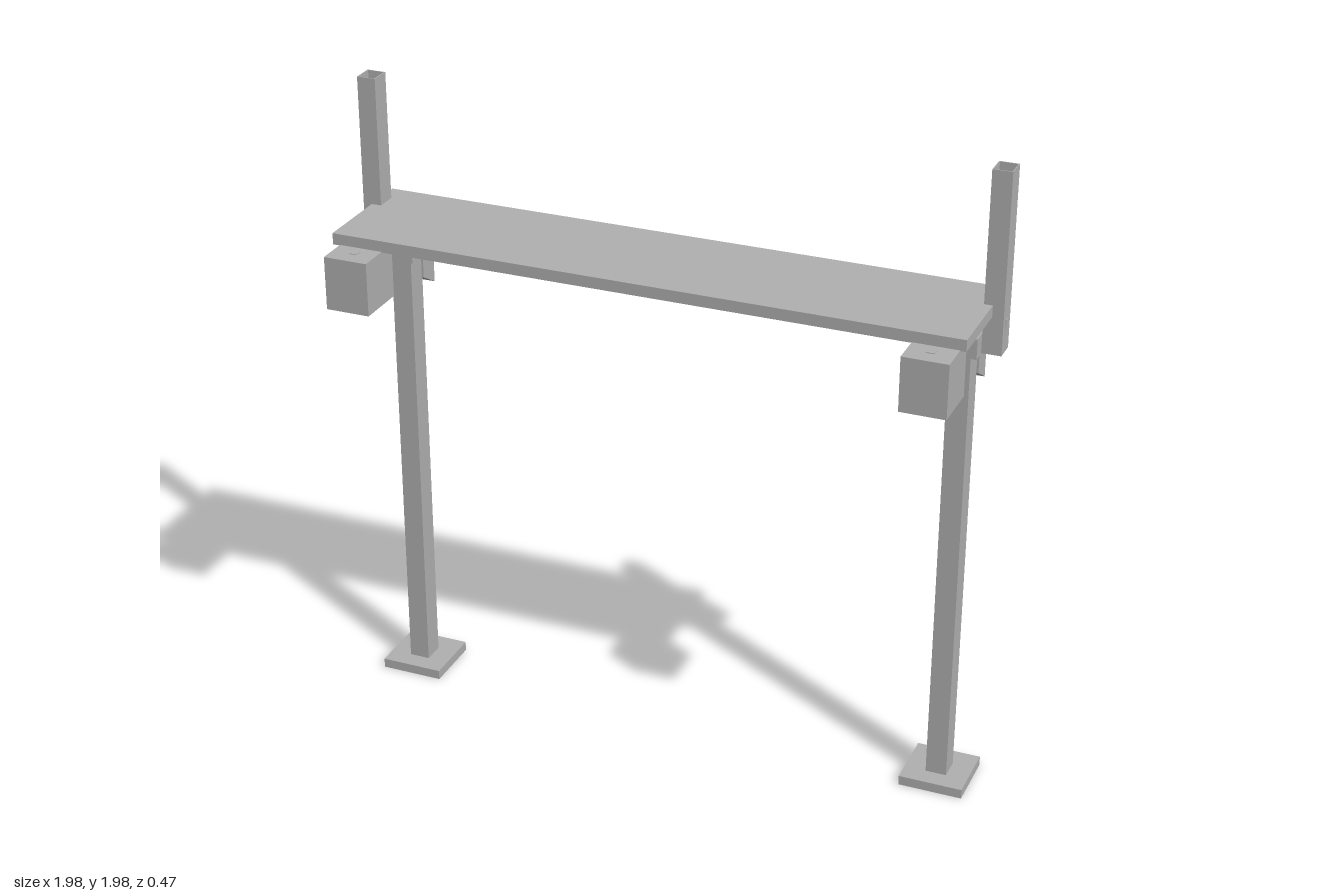
import * as THREE from 'three';

export function createModel() {
  const model = new THREE.Group();
  model.name = 'raisedPlatform';
  const steel = new THREE.MeshStandardMaterial({ color: 0xb0b0b0, side: THREE.DoubleSide });
  steel.name = 'grey steel';

  const CX = -0.008; // mirror plane between the two supports
  const LEG = 0.869; // leg offset from the mirror plane

  function add(parent, name, geometry) {
    const mesh = new THREE.Mesh(geometry, steel);
    mesh.name = name;
    parent.add(mesh);
    return mesh;
  }

  // box given by its limits on each axis
  function box(parent, name, [x0, x1], [y0, y1], [z0, z1]) {
    const mesh = add(parent, name, new THREE.BoxGeometry(x1 - x0, y1 - y0, z1 - z0));
    mesh.position.set((x0 + x1) / 2, (y0 + y1) / 2, (z0 + z1) / 2);
    return mesh;
  }

  // open square tube made of four thin walls
  function tube(parent, name, [x0, x1], [y0, y1], [z0, z1]) {
    const w = x1 - x0, d = z1 - z0, t = 0.003;
    const shape = new THREE.Shape([[0, 0], [w, 0], [w, d], [0, d]].map(p => new THREE.Vector2(...p)));
    shape.holes.push(new THREE.Path(
      [[t, t], [t, d - t], [w - t, d - t], [w - t, t]].map(p => new THREE.Vector2(...p))));
    const geo = new THREE.ExtrudeGeometry(shape, { depth: y1 - y0, bevelEnabled: false });
    geo.rotateX(-Math.PI / 2);
    add(parent, name, geo).position.set(x0, y0, z1);
  }

  // plate with a profile in z and y, extruded along x
  function sidePlate(parent, name, points, x, thickness) {
    const shape = new THREE.Shape(points.map(([z, y]) => new THREE.Vector2(-z, y)));
    const geo = new THREE.ExtrudeGeometry(shape, { depth: thickness, bevelEnabled: false });
    geo.rotateY(Math.PI / 2);
    add(parent, name, geo).position.x = x;
  }

  // walking deck
  box(model, 'deck', [-0.968, 0.946], [1.55, 1.585], [-0.235, 0.141]);

  for (const s of [-1, 1]) {
    const support = new THREE.Group();
    support.name = s > 0 ? 'leftSupport' : 'rightSupport';
    support.position.x = CX + s * LEG;
    model.add(support);

    // foot and leg
    box(support, 'basePlate', [-0.098, 0.098], [0, 0.03], [-0.235, -0.042]);
    box(support, 'leg', [-0.032, 0.032], [0.03, 1.497], [-0.17, -0.1]);

    // collar around the leg top, beam under the deck and counterweight
    box(support, 'collar', [-0.06, 0.06], [1.435, 1.497], [-0.215, -0.058]);
    box(support, 'crossBeam', [-0.035, 0.035], [1.497, 1.55], [-0.235, 0.141]);
    box(support, 'endBlock', [-0.068, 0.068], [1.388, 1.552], [0.08, 0.238]);
    box(support, 'blockPin', [-0.012, 0.012], [1.55, 1.554], [0.165, 0.19]);

    // guard post, open at the ends, on the outer side
    const inner = s * 0.06, outer = s * 0.118;
    const span = [Math.min(inner, outer), Math.max(inner, outer)];
    tube(support, 'guardPost', span, [1.437, 1.98], [-0.168, -0.102]);
    box(support, 'postPin', [outer - 0.002, outer + 0.002], [1.513, 1.538], [-0.147, -0.124]);

    // wedge pocket behind the leg: two cheeks and a sloping floor
    const cheek = [[-0.165, 1.447], [-0.215, 1.447], [-0.235, 1.435], [-0.235, 1.302], [-0.165, 1.343]];
    for (const x of [-0.039, 0.033]) sidePlate(support, 'pocketCheek', cheek, x, 0.006);
    const floor = [[-0.165, 1.343], [-0.235, 1.302], [-0.235, 1.308], [-0.165, 1.349]];
    sidePlate(support, 'pocketFloor', floor, -0.035, 0.07);
  }
  return model;
}
